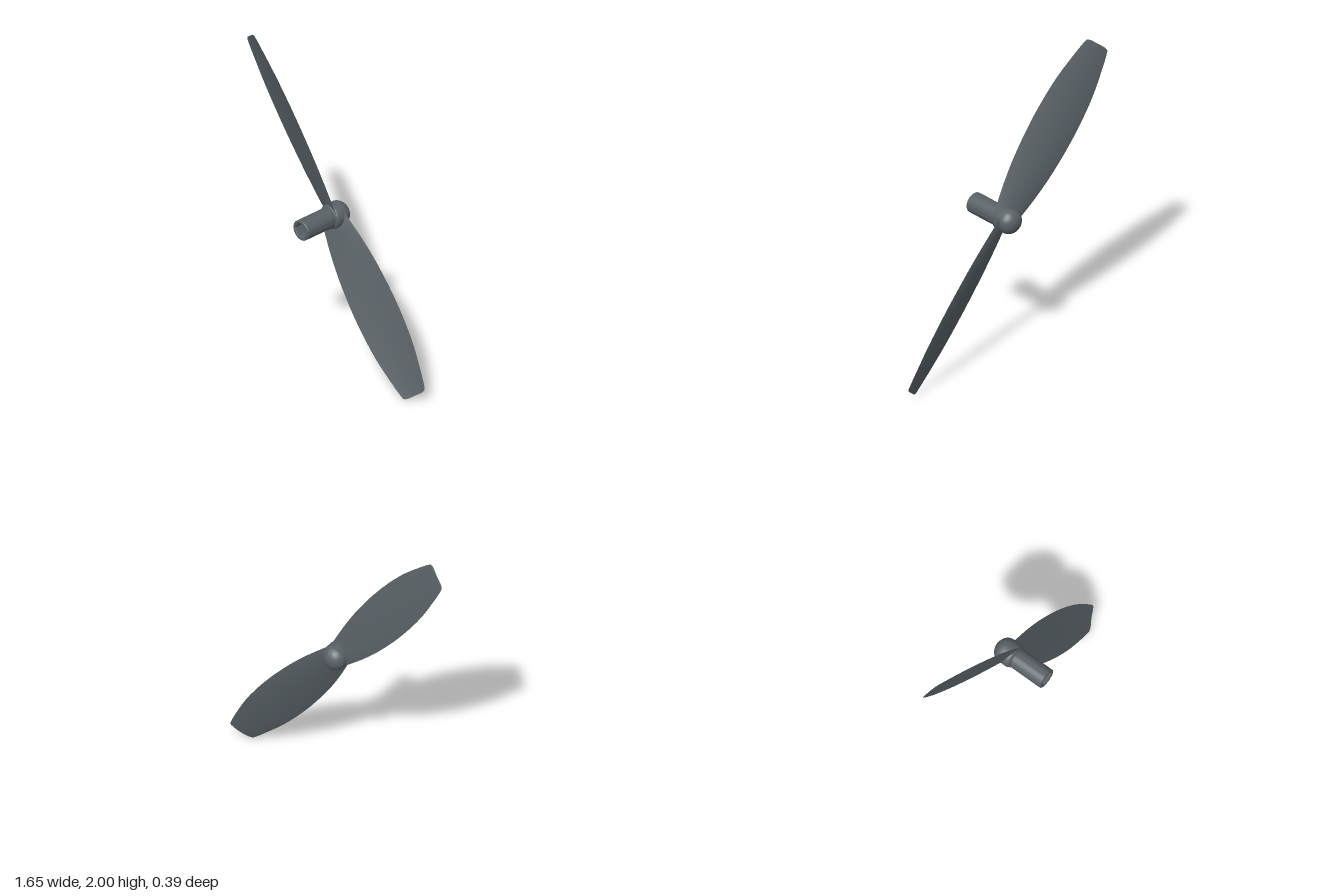
import * as THREE from 'three';
import { mergeGeometries, toCreasedNormals } from 'three/addons/utils/BufferGeometryUtils.js';

const V2 = (x, y) => new THREE.Vector2(x, y);

// Half-width of the blade (y) along its length (x)
const outline = new THREE.SplineCurve([
  [0, 0.08], [0.2, 0.118], [0.4, 0.142], [0.65, 0.152], [0.9, 0.14],
  [1.1, 0.108], [1.205, 0.085], [1.225, 0.074], [1.233, 0.05],
].map(([u, w]) => V2(u, w)));
const LENGTH = 1.233, PITCH = 0.39, CAMBER = 0.012;

// One face of a blade: a grid bent to the outline; side +1 is front, -1 is back
function bladeFace(side) {
  const geo = new THREE.PlaneGeometry(1, 1, 64, 12);
  const pos = geo.attributes.position;
  for (let i = 0; i < pos.count; i++) {
    const { x: u, y: w } = outline.getPoint(pos.getX(i) + 0.5);
    const s = pos.getY(i) * 2 * side;
    const bulge = 1 - s * s;
    const thick = 0.014 * (1 - u / LENGTH) + 0.001;
    pos.setXYZ(i, u, s * w, -PITCH * s * w + bulge * (side * thick - CAMBER * w / 0.15));
  }
  geo.computeVertexNormals();
  return geo;
}

export function createModel() {
  const material = new THREE.MeshStandardMaterial({ color: 0x586165 });
  const bladeMaterial = material.clone();
  bladeMaterial.side = THREE.DoubleSide;

  const model = new THREE.Group();
  model.name = 'propeller';
  const rotor = new THREE.Group();
  rotor.name = 'rotor';
  rotor.position.set(0, 1, -0.08);
  rotor.rotation.x = -0.035;
  model.add(rotor);

  const add = (name, geometry, mat = material) => {
    const mesh = new THREE.Mesh(geometry, mat);
    mesh.name = name;
    rotor.add(mesh);
    return mesh;
  };

  // Two opposite pitched blades
  const bladeGeo = mergeGeometries([bladeFace(1), bladeFace(-1)]);
  ['lowerBlade', 'upperBlade'].forEach((name, i) => {
    add(name, bladeGeo, bladeMaterial).rotation.z = Math.atan2(-0.78, 0.626) + i * Math.PI;
  });

  // Domed hub, dome facing back
  const profile = [V2(0, -0.035), V2(0.066, -0.035), V2(0.078, -0.028), V2(0.083, -0.015), V2(0.083, 0.045)];
  for (let i = 1; i <= 12; i++) {
    const a = (i / 12) * Math.PI / 2;
    profile.push(V2(0.083 * Math.cos(a), 0.045 + 0.07 * Math.sin(a)));
  }
  const hub = new THREE.LatheGeometry(profile, 48).rotateX(-Math.PI / 2);
  add('hub', toCreasedNormals(hub.toNonIndexed(), 0.7));

  // Shaft with a hexagonal socket in its front end
  const ring = new THREE.Shape().absarc(0, 0, 0.068, 0, Math.PI * 2);
  const hex = [];
  for (let i = 0; i < 6; i++) {
    const a = -i * Math.PI / 3;
    hex.push(V2(0.051 * Math.cos(a), 0.051 * Math.sin(a)));
  }
  ring.holes.push(new THREE.Path(hex));
  const bevel = 0.004;
  const shaft = new THREE.ExtrudeGeometry(ring, {
    depth: 0.24 - 2 * bevel, curveSegments: 24,
    bevelSize: bevel, bevelThickness: bevel, bevelOffset: -bevel, bevelSegments: 1,
  }).translate(0, 0, 0.035 + bevel);
  add('shaft', toCreasedNormals(shaft, 0.5));

  // Floor of the socket
  add('socketFloor', new THREE.CylinderGeometry(0.06, 0.06, 0.07, 24).rotateX(Math.PI / 2).translate(0, 0, 0.05));

  return model;
}
